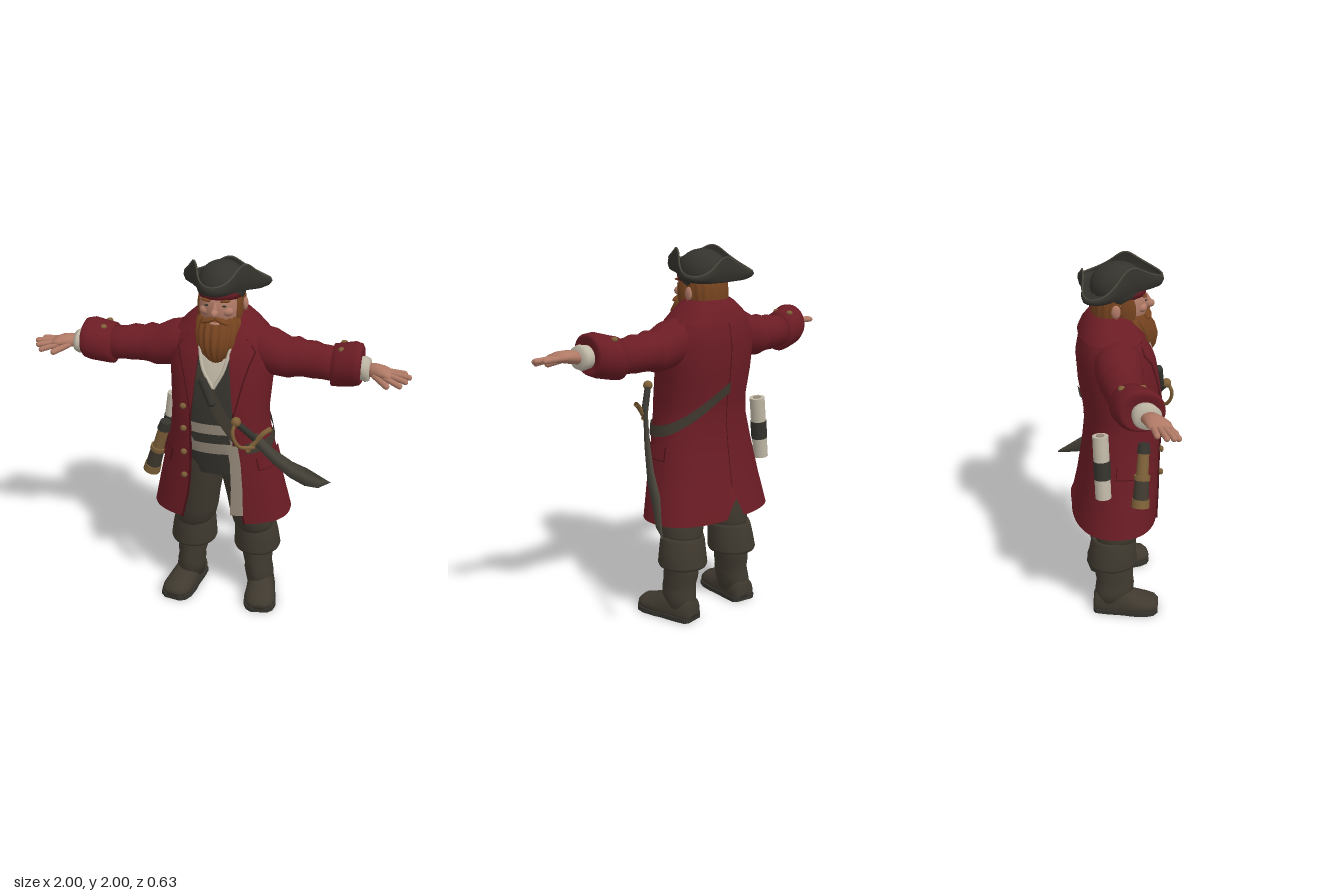
import * as THREE from 'three';

const mat = (name, color) => {
  const m = new THREE.MeshStandardMaterial({ color, side: THREE.DoubleSide });
  m.name = name;
  return m;
};
const V = (p) => new THREE.Vector3(...p);
const P = 0.85; // squareness of the body sections

// Skin a list of rings (bottom to top, counter-clockwise from above)
function loft(rings, closed = true) {
  const n = rings[0].length, pos = rings.flat(2), idx = [];
  for (let i = 0; i < rings.length - 1; i++)
    for (let j = 0; j < (closed ? n : n - 1); j++) {
      const k = (j + 1) % n, a = i * n + j, b = i * n + k;
      idx.push(a, b, a + n, b, b + n, a + n);
    }
  const g = new THREE.BufferGeometry();
  g.setAttribute('position', new THREE.Float32BufferAttribute(pos, 3));
  g.setIndex(idx);
  g.computeVertexNormals();
  return g;
}
// Capped upright solid from rows [y, cx, cz, rx, rz]; ridge adds lengthwise folds
function solid(rows, ridge = 0, count = 12, seg = 32) {
  const cap = (r) => [r[0], r[1], r[2], 0.0005, 0.0005];
  const all = [cap(rows[0]), ...rows, cap(rows[rows.length - 1])];
  return loft(all.map(([y, cx, cz, rx, rz]) => Array.from({ length: seg }, (_, j) => {
    const t = (j / seg) * Math.PI * 2, k = 1 + ridge * Math.cos(count * t);
    return [cx + rx * k * Math.sin(t), y, cz + rz * k * Math.cos(t)];
  })));
}
// Same along x: rows [x, cy, cz, ry, rz]
const limb = (rows) => solid(rows.map(([x, cy, cz, ry, rz]) => [x, -cy, cz, ry, rz])).rotateZ(-Math.PI / 2);

// Body tables: [y, halfWidth, frontZ, backZ, half opening]
const COAT = [[0.57, 0.385, 0.2, -0.272, 0.175], [0.75, 0.345, 0.205, -0.235, 0.135], [0.95, 0.3, 0.21, -0.205, 0.118],
  [1.1, 0.268, 0.22, -0.19, 0.115], [1.2, 0.26, 0.223, -0.195, 0.115], [1.35, 0.27, 0.2, -0.22, 0.105],
  [1.5, 0.28, 0.17, -0.23, 0.09], [1.6, 0.25, 0.13, -0.212, 0.08], [1.66, 0.19, 0.09, -0.19, 0.075], [1.72, 0.125, 0.05, -0.15, 0.07]];
const TORSO = [[0.84, 0.18, 0.15, -0.14], [1.05, 0.215, 0.19, -0.15], [1.2, 0.215, 0.2, -0.16], [1.35, 0.22, 0.18, -0.17],
  [1.5, 0.22, 0.15, -0.18], [1.62, 0.16, 0.1, -0.15], [1.72, 0.09, 0.07, -0.1]];
function section(table, y) {
  let i = 0;
  while (i < table.length - 2 && y > table[i + 1][0]) i++;
  const a = table[i], b = table[i + 1], t = THREE.MathUtils.clamp((y - a[0]) / (b[0] - a[0]), 0, 1);
  return a.map((v, k) => v + (b[k] - v) * t);
}
const pw = (v) => Math.sign(v) * Math.abs(v) ** P;
// Point on one body row at an angle measured from the front towards +x
const rowPoint = ([, hw, zf, zb], t, y, off = 0) =>
  [(hw + off) * pw(Math.sin(t)), y, (zf + zb) / 2 + ((zf - zb) / 2 + off) * pw(Math.cos(t))];
const bodyPoint = (table, t, y, off) => rowPoint(section(table, y), t, y, off);
// Panel draped over the front of a body table, rows [y, x0, x1] from the top down
function drape(table, rows, off, seg = 10) {
  return loft(rows.slice().reverse().map(([y, x0, x1]) => Array.from({ length: seg + 1 }, (_, j) => {
    const x = x0 + ((x1 - x0) * j) / seg, s = Math.min(1, Math.abs(x) / section(table, y)[1]) ** (1 / P);
    return [x, y, bodyPoint(table, Math.asin(s), y)[2] + off];
  })), false);
}
// Band around the coat between two angles
const band = (t0, t1, yAt, h, off) => loft([-h / 2, h / 2].map((d) => Array.from({ length: 33 }, (_, j) => {
  const t = t0 + ((t1 - t0) * j) / 32;
  return bodyPoint(COAT, t, yAt(t) + d, off);
})), false);
// Shell open at the front, with an optional vent in the back hem
const openAngle = (r) => Math.asin(Math.min(1, r[4] / r[1]) ** (1 / P));
const openShell = (rows, vent = 0) => loft(rows.map((r, i) => Array.from({ length: 97 }, (_, j) => {
  const a = openAngle(r), t = a + ((2 * Math.PI - 2 * a) * j) / 96, p = rowPoint(r, t, r[0]);
  if (i === 0) p[1] += vent * Math.max(0, 1 - Math.abs(t - Math.PI) / 0.12);
  return p;
})), false);

export function createModel() {
  const root = new THREE.Group();
  const red = mat('coat red', 0x6b1c24), trim = mat('dark red trim', 0x4a1218), skin = mat('skin', 0xb07a66),
    hair = mat('ginger hair', 0x75431f), dark = mat('dark felt', 0x35332d), leather = mat('boot leather', 0x3f392f),
    linen = mat('linen', 0xc0b8a6), sash = mat('sash grey', 0x95897a), brass = mat('brass', 0x7d6038), steel = mat('dark steel', 0x48453b);
  const add = (name, geo, m, parent = root) => {
    const mesh = new THREE.Mesh(geo, m);
    mesh.name = name;
    parent.add(mesh);
    return mesh;
  };
  const ball = (name, c, r, m, parent = root, rz = 0) =>
    add(name, new THREE.SphereGeometry(1, 28, 20).scale(...r).rotateZ(rz).translate(...c), m, parent);
  const rod = (name, a, b, r0, r1, m, parent = root, round = false) => {
    const d = V(b).sub(V(a)), L = d.length();
    const g = round ? new THREE.CapsuleGeometry(r0, L, 6, 12) : new THREE.CylinderGeometry(r1, r0, L, 20);
    const mesh = add(name, g, m, parent);
    mesh.position.copy(V(a)).addScaledVector(d, 0.5);
    mesh.quaternion.setFromUnitVectors(V([0, 1, 0]), d.normalize());
  };
  const tube = (name, pts, r, m, closed = false, n = 40) =>
    add(name, new THREE.TubeGeometry(new THREE.CatmullRomCurve3(pts.map(V), closed), n, r, 8, closed), m);

  // Torso clothing
  add('vest', loft(TORSO.map((r) => Array.from({ length: 48 }, (_, j) => rowPoint(r, (j / 48) * Math.PI * 2, r[0])))), dark);
  add('shirt', drape(TORSO, [[1.62, -0.09, 0.09], [1.55, -0.085, 0.085], [1.46, -0.055, 0.06], [1.37, -0.002, 0.006]], 0.012), linen);
  for (const s of [-1, 1])
    tube('shirtCollar', [[0.085 * s, 1.6, 0.135], [0.055 * s, 1.47, 0.178], [0.004, 1.37, 0.195]], 0.009, linen);
  add('sashWrap', drape(TORSO, [[1.17, -0.13, 0.13], [1.12, -0.13, 0.13], [1.06, -0.13, 0.13], [0.99, -0.13, 0.13]], 0.018), sash);
  add('waistBelt', drape(TORSO, [[1.115, -0.13, 0.09], [1.06, -0.1, 0.1]], 0.024), dark);
  add('sashTail', drape(COAT, [[1.06, 0.085, 0.14], [0.95, 0.1, 0.155], [0.8, 0.105, 0.165], [0.63, 0.1, 0.17]], 0.014), sash);
  add('chestStrap', drape(TORSO, [[1.48, -0.13, -0.07], [1.35, -0.055, 0.015], [1.2, 0.03, 0.1], [1.08, 0.1, 0.17]], 0.022), leather);
  rod('chestPouch', [-0.05, 1.41, 0.2], [0.0, 1.3, 0.215], 0.024, 0.024, dark, root, true);

  // Coat
  add('coat', openShell(COAT, 0.11), red);
  add('collar', openShell([[1.625, 0.245, 0.135, -0.218, 0.1], [1.68, 0.19, 0.105, -0.197, 0.09],
    [1.72, 0.145, 0.075, -0.168, 0.08], [1.735, 0.125, 0.055, -0.148, 0.075]]), red);
  const seamHeights = [0.68, ...COAT.slice(1, 9).map((r) => r[0])];
  add('backSeam', loft([0.003, -0.003].map((x) => seamHeights.map((y) => [x, y, bodyPoint(COAT, Math.PI, y, 0.003)[2]])), false), trim);
  for (const s of [-1, 1]) {
    const edge = COAT.map((r) => { const p = rowPoint(r, openAngle(r), r[0], 0.003); return [p[0] * s, p[1], p[2]]; });
    tube('coatEdge', edge, 0.006, trim);
    const flip = (rows) => rows.map(([y, a, b]) => (s > 0 ? [y, a, b] : [y, -b, -a]));
    add('lapelEdge', drape(COAT, flip([[1.65, 0.07, 0.136], [1.555, 0.08, 0.208], [1.5, 0.085, 0.186], [1.4, 0.095, 0.158], [1.24, 0.11, 0.122]]), 0.01), trim);
    add('lapel', drape(COAT, flip([[1.65, 0.07, 0.13], [1.56, 0.08, 0.2], [1.5, 0.085, 0.178], [1.4, 0.095, 0.15], [1.25, 0.11, 0.116]]), 0.014), red);
    add('pocketFlapEdge', band(s * 0.8, s * 1.75, () => 0.935, 0.075, 0.008), trim);
    add('pocketFlap', band(s * 0.82, s * 1.73, () => 0.94, 0.07, 0.013), red);
  }
  for (const y of [1.26, 1.13, 0.99, 0.85]) ball('coatButton', [-0.155, y, 0.21], [0.017, 0.017, 0.012], brass);
  add('swordBelt', band(0.6, 3.15, (t) => 1.04 + 0.09 * Math.max(0, t - 1.3) ** 1.6, 0.06, 0.01), leather);

  for (const s of [-1, 1]) {
    // Sleeves and hands
    const arm = new THREE.Group();
    arm.name = s > 0 ? 'leftArm' : 'rightArm';
    arm.scale.x = s;
    root.add(arm);
    add('sleeve', limb([[0.1, 1.53, -0.03, 0.1, 0.1], [0.2, 1.535, -0.03, 0.118, 0.12], [0.28, 1.515, -0.03, 0.122, 0.122], [0.36, 1.49, -0.03, 0.106, 0.11],
      [0.4, 1.5, -0.03, 0.105, 0.107], [0.44, 1.493, -0.028, 0.094, 0.1], [0.49, 1.495, -0.022, 0.098, 0.1], [0.53, 1.49, -0.018, 0.09, 0.094], [0.62, 1.49, 0, 0.09, 0.092]]), red, arm);
    add('sleeveCuff', limb([[0.585, 1.485, -0.005, 0.085, 0.085], [0.59, 1.485, -0.005, 0.11, 0.108], [0.62, 1.49, 0, 0.112, 0.112], [0.7, 1.51, 0.018, 0.115, 0.122],
      [0.735, 1.515, 0.028, 0.105, 0.112], [0.745, 1.512, 0.032, 0.09, 0.096], [0.73, 1.508, 0.035, 0.07, 0.075]]), red, arm);
    for (const z of [-0.055, 0.045]) ball('cuffButton', [0.635, 1.59, z], [0.018, 0.014, 0.018], brass, arm);
    add('shirtCuff', limb([[0.7, 1.505, 0.04, 0.055, 0.06], [0.745, 1.503, 0.045, 0.06, 0.066], [0.765, 1.502, 0.05, 0.065, 0.07], [0.785, 1.502, 0.055, 0.056, 0.06]]), linen, arm);
    add('palm', limb([[0.77, 1.503, 0.055, 0.034, 0.042], [0.82, 1.51, 0.075, 0.034, 0.05], [0.86, 1.512, 0.09, 0.028, 0.058], [0.895, 1.508, 0.1, 0.018, 0.054]]), skin, arm);
    const fingers = [[0.87, 1.5, 0.137, 0.945, 1.48, 0.17], [0.88, 1.508, 0.113, 0.97, 1.495, 0.145],
      [0.88, 1.51, 0.088, 0.985, 1.505, 0.11], [0.87, 1.51, 0.062, 0.96, 1.507, 0.07]];
    for (const f of fingers) rod('finger', f.slice(0, 3), f.slice(3), 0.0145, 0.0145, skin, arm, true);
    rod('thumb', [0.815, 1.495, 0.11], [0.88, 1.47, 0.165], 0.0165, 0.0165, skin, arm, true);

    // Legs and boots
    const leg = new THREE.Group();
    leg.name = s > 0 ? 'leftLeg' : 'rightLeg';
    leg.scale.x = s;
    leg.position.x = 0.01;
    root.add(leg);
    add('breeches', solid([[0.43, 0.18, -0.04, 0.095, 0.105], [0.48, 0.172, -0.03, 0.118, 0.125], [0.55, 0.16, -0.02, 0.123, 0.128],
      [0.65, 0.143, -0.01, 0.12, 0.13], [0.78, 0.12, 0, 0.122, 0.138], [0.9, 0.1, 0, 0.12, 0.145], [1.0, 0.09, 0, 0.11, 0.14]]), leather, leg);
    add('bootCuff', solid([[0.33, 0.185, -0.06, 0.09, 0.1], [0.3, 0.187, -0.06, 0.126, 0.132], [0.315, 0.187, -0.06, 0.132, 0.138],
      [0.39, 0.183, -0.055, 0.125, 0.13], [0.45, 0.178, -0.05, 0.117, 0.124], [0.468, 0.176, -0.05, 0.11, 0.117], [0.45, 0.176, -0.05, 0.09, 0.1]]), leather, leg);
    add('bootShaft', solid([[0.05, 0.21, -0.06, 0.075, 0.1], [0.12, 0.205, -0.05, 0.08, 0.108], [0.16, 0.2, -0.045, 0.08, 0.108], [0.19, 0.198, -0.045, 0.076, 0.104],
      [0.24, 0.193, -0.05, 0.084, 0.108], [0.27, 0.19, -0.055, 0.08, 0.106], [0.35, 0.186, -0.055, 0.088, 0.112]]), leather, leg);
    const foot = new THREE.Group();
    foot.name = 'foot';
    foot.position.set(0.215, 0, -0.05);
    foot.rotation.y = 0.17;
    leg.add(foot);
    // rows run heel to toe: [z, halfWidth, top height]
    const shape = [[-0.115, 0.045, 0.1], [-0.1, 0.066, 0.13], [-0.03, 0.074, 0.16], [0.05, 0.077, 0.15], [0.11, 0.085, 0.115], [0.18, 0.085, 0.092], [0.225, 0.07, 0.08], [0.248, 0.04, 0.06]];
    const upper = solid(shape.map(([z, w, h]) => [z, 0, -0.04, w, h - 0.04])).rotateX(Math.PI / 2);
    const p = upper.attributes.position;
    for (let i = 0; i < p.count; i++) p.setY(i, Math.max(p.getY(i), 0.02));
    upper.computeVertexNormals();
    add('bootFoot', upper, leather, foot);
    const outline = new THREE.Shape([...shape.map(([z, w]) => new THREE.Vector2(w + 0.006, -z)), ...shape.slice().reverse().map(([z, w]) => new THREE.Vector2(-w - 0.006, -z))]);
    add('sole', new THREE.ExtrudeGeometry(outline, { depth: 0.025, bevelEnabled: false }).rotateX(-Math.PI / 2), dark, foot);
  }

  // Head
  ball('head', [0, 1.77, 0.015], [0.11, 0.145, 0.13], skin);
  rod('neck', [0, 1.58, -0.03], [0, 1.72, -0.02], 0.09, 0.085, skin);
  ball('nose', [0, 1.765, 0.152], [0.02, 0.022, 0.03], skin);
  rod('noseBridge', [0, 1.815, 0.133], [0, 1.77, 0.155], 0.011, 0.015, skin);
  add('hair', solid([[1.65, 0, -0.06, 0.09, 0.07], [1.69, 0, -0.055, 0.112, 0.092], [1.78, 0, -0.05, 0.116, 0.095], [1.87, 0, -0.04, 0.112, 0.095]], 0.02, 16, 96), hair);
  add('beard', solid([[1.485, 0.008, 0.12, 0.015, 0.02], [1.51, 0.005, 0.11, 0.05, 0.06], [1.55, 0, 0.098, 0.088, 0.09], [1.6, 0, 0.085, 0.11, 0.112],
    [1.66, 0, 0.065, 0.12, 0.115], [1.705, 0, 0.045, 0.115, 0.105], [1.73, 0, 0.035, 0.1, 0.095]], 0.035, 18, 144), hair);
  ball('lip', [0, 1.707, 0.146], [0.026, 0.008, 0.012], skin);
  for (const s of [-1, 1]) {
    ball('moustache', [0.036 * s, 1.722, 0.14], [0.042, 0.013, 0.022], hair, root, -0.35 * s);
    ball('sideburn', [0.098 * s, 1.76, 0.03], [0.02, 0.085, 0.045], hair);
    ball('eyebrow', [0.045 * s, 1.822, 0.122], [0.032, 0.008, 0.014], hair, root, 0.12 * s);
    ball('cheek', [0.055 * s, 1.765, 0.105], [0.034, 0.026, 0.03], skin);
    ball('eye', [0.043 * s, 1.798, 0.129], [0.014, 0.005, 0.006], dark);
    ball('ear', [0.118 * s, 1.765, -0.03], [0.014, 0.036, 0.024], skin);
    add('earring', new THREE.TorusGeometry(0.013, 0.003, 8, 16).rotateY(Math.PI / 2).translate(0.126 * s, 1.718, -0.03), brass);
  }
  add('headscarf', solid([[1.825, 0, -0.005, 0.118, 0.138], [1.85, 0, -0.005, 0.122, 0.143], [1.88, 0, -0.005, 0.118, 0.138]]), red);

  // Three-cornered hat: crown and brim folded up between the corners
  ball('hatCrown', [0, 1.868, -0.01], [0.128, 0.122, 0.142], dark);
  const ring = (f) => Array.from({ length: 96 }, (_, j) => {
    const t = (j / 96) * Math.PI * 2, c = Math.cos(t), w = (1 + Math.cos(3 * t)) / 2;
    const r = 0.155 + 0.095 * w ** 1.6, low = 1.855 + 0.02 * c;
    const high = (1.982 + 0.027 * c) * (1 - w) + (1.887 + 0.033 * c) * w;
    const [k, y] = f(low, high);
    return [r * k * Math.sin(t), y, -0.033 + r * k * c];
  });
  const rim = ring((l, h) => [1, h]);
  add('hatBrim', loft([ring((l) => [0.6, l + 0.012]), ring((l) => [0.9, l - 0.01]), ring((l) => [1, l]),
    ring((l, h) => [1.04, l + (h - l) * 0.45]), ring((l, h) => [1.03, l + (h - l) * 0.8]), rim]), dark);
  tube('hatTrim', rim.filter((_, j) => j % 2 === 0), 0.005, steel, true, 144);

  // Cutlass on the left hip: [x, y, z, half width]
  const spine = [[0.225, 1.12, 0.205, 0.03], [0.305, 0.97, 0.1, 0.036], [0.385, 0.83, -0.02, 0.045], [0.45, 0.725, -0.14, 0.05], [0.51, 0.655, -0.225, 0.036], [0.562, 0.607, -0.315, 0.002]];
  const out = V([0.85, 0.3, 0.4]).normalize();
  add('blade', loft(spine.map((q, i) => {
    const a = spine[Math.max(0, i - 1)], b = spine[Math.min(spine.length - 1, i + 1)], c = V(q.slice(0, 3));
    const wide = V(b.slice(0, 3)).sub(V(a.slice(0, 3))).cross(out).normalize();
    return [[wide, q[3]], [out, 0.009], [wide, -q[3]], [out, -0.009]].map(([d, k]) => c.clone().addScaledVector(d, k).toArray());
  })), steel);
  rod('swordGrip', [0.235, 1.11, 0.2], [0.15, 1.225, 0.27], 0.019, 0.017, dark);
  ball('pommel', [0.145, 1.235, 0.275], [0.026, 0.026, 0.026], brass);
  tube('knuckleGuard', [[0.145, 1.24, 0.28], [0.135, 1.18, 0.305], [0.165, 1.1, 0.285], [0.23, 1.07, 0.22]], 0.01, brass);
  tube('crossGuard', [[0.195, 1.05, 0.235], [0.235, 1.1, 0.215], [0.275, 1.15, 0.205], [0.31, 1.17, 0.18]], 0.014, brass);

  // Rolled chart and spyglass on the right hip
  rod('scroll', [-0.345, 0.82, -0.12], [-0.3, 1.165, -0.13], 0.042, 0.042, linen);
  rod('scrollStrap', [-0.331, 0.93, -0.122], [-0.318, 1.03, -0.125], 0.045, 0.045, dark);
  rod('scrollCore', [-0.303, 1.14, -0.129], [-0.2995, 1.168, -0.13], 0.022, 0.022, sash);
  const lo = V([-0.385, 0.775, 0.07]), hi = V([-0.285, 1.1, 0.1]);
  const at = (t) => lo.clone().lerp(hi, t).toArray();
  rod('spyglassLens', at(0), at(0.13), 0.048, 0.046, brass);
  rod('spyglassBody', at(0.12), at(0.45), 0.042, 0.038, leather);
  rod('spyglassRing', at(0.43), at(0.5), 0.043, 0.043, brass);
  rod('spyglassDraw', at(0.5), at(0.85), 0.033, 0.03, brass);
  rod('spyglassEyepiece', at(0.85), at(1), 0.036, 0.03, dark);
  return root;
}
